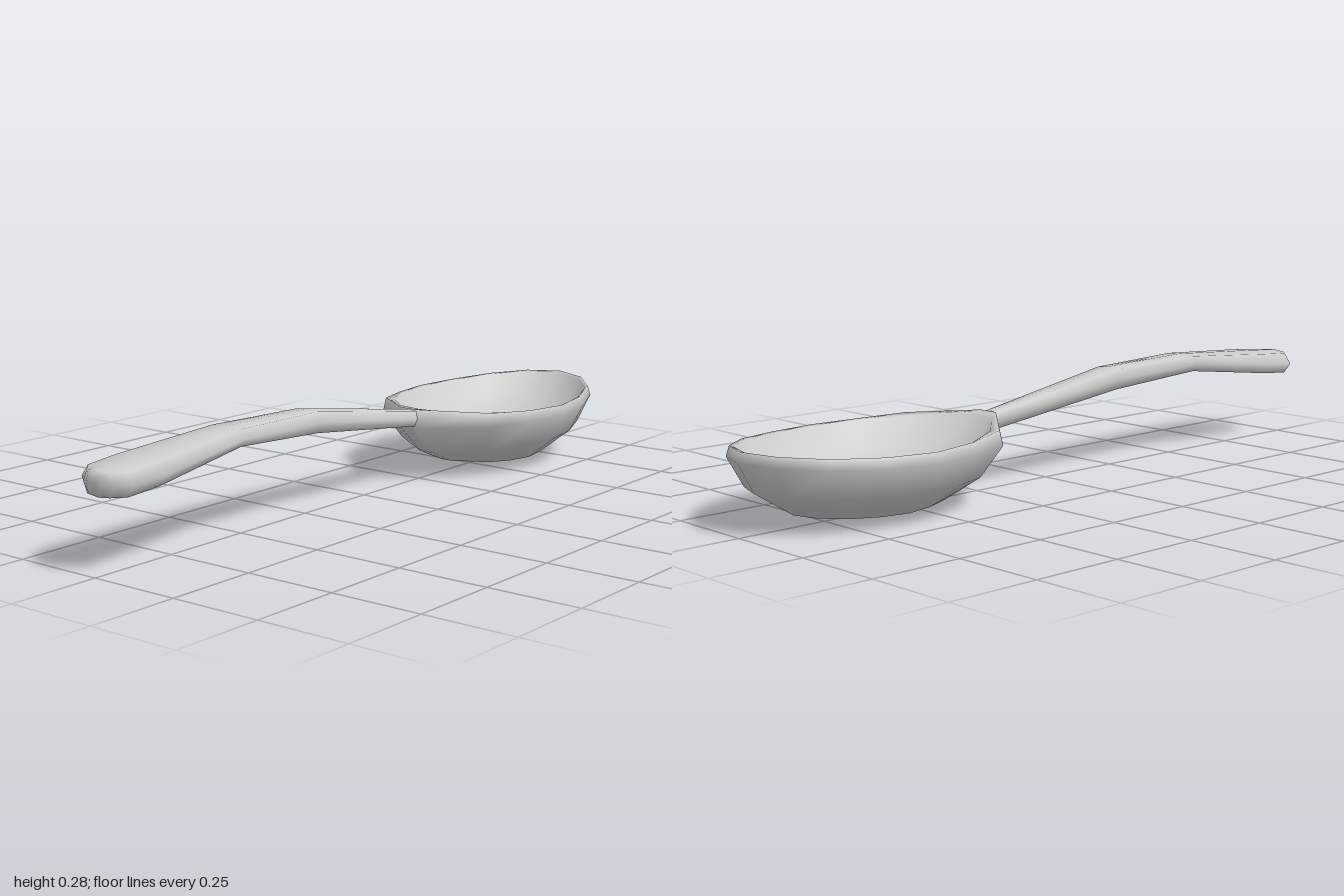
import * as THREE from 'three';
import { mergeVertices } from 'three/addons/utils/BufferGeometryUtils.js';

// Skin a list of closed rings (arrays of [x, y, z]) with smooth normals.
function loft(rings) {
  const n = rings[0].length;
  const index = [];
  for (let r = 0; r < rings.length - 1; r++) {
    for (let i = 0; i < n; i++) {
      const a = r * n + i, b = r * n + (i + 1) % n;
      index.push(a, a + n, b, b, a + n, b + n);
    }
  }
  let geometry = new THREE.BufferGeometry();
  geometry.setAttribute('position', new THREE.Float32BufferAttribute(rings.flat(2), 3));
  geometry.setIndex(index);
  geometry = mergeVertices(geometry, 1e-5);
  geometry.computeVertexNormals();
  return geometry;
}

// Half outlines from tip to neck, relative to the bowl centre
const CENTRE = 0.6;
const outerHalf = [[0.397, 0], [0.362, 0.1], [0.27, 0.184], [0.14, 0.238], [0, 0.262],
  [-0.14, 0.238], [-0.27, 0.19], [-0.4, 0.03]];
const innerHalf = [...outerHalf.slice(0, 6), [-0.27, 0.168], [-0.352, 0.08]];

const closeOutline = (half, neckX) => [
  ...half, [neckX, 0], ...half.slice(1).reverse().map(([x, z]) => [x, -z]),
];

// A bowl ring: scale and height given for tip, sides and neck
function bowlRing(outline, scale, height) {
  const blend = ([tip, side, neck], t) => side + ((t > 0 ? tip : neck) - side) * t * t;
  return outline.map(([x, z]) => {
    const t = x / 0.4;
    const s = blend(scale, t);
    return [CENTRE + x * s, blend(height, t), z * s];
  });
}

function createBowl() {
  const outer = closeOutline(outerHalf, -0.4);
  const inner = closeOutline(innerHalf, -0.37);
  return loft([
    // underside, from the lowest point up to the rim
    bowlRing(outer, [0, 0, 0], [0, 0, 0]),
    bowlRing(outer, [0.61, 0.55, 0.55], [0.03, 0.02, 0.03]),
    bowlRing(outer, [0.89, 0.86, 0.78], [0.1, 0.085, 0.07]),
    bowlRing(outer, [1, 1, 1], [0.18, 0.16, 0.155]),
    bowlRing(outer, [0.98, 0.965, 0.98], [0.206, 0.188, 0.208]),
    // hollow, from the rim down
    bowlRing(inner, [0.95, 0.94, 0.95], [0.203, 0.185, 0.203]),
    bowlRing(inner, [0.83, 0.8, 0.8], [0.135, 0.128, 0.13]),
    bowlRing(inner, [0.54, 0.5, 0.5], [0.086, 0.08, 0.086]),
    bowlRing(inner, [0, 0, 0], [0.057, 0.057, 0.057]),
  ]);
}

function createHandle() {
  // x, half width, bottom, top, sideways shift
  const stations = [
    [-1, 0.025, 0.2, 0.248, 0.005], [-0.985, 0.05, 0.189, 0.255, 0.005],
    [-0.955, 0.087, 0.189, 0.257, 0.005], [-0.86, 0.093, 0.197, 0.264, 0.005],
    [-0.55, 0.064, 0.235, 0.285, 0.003], [-0.24, 0.048, 0.214, 0.279, 0.001],
    [0.2, 0.029, 0.158, 0.208, 0], [0.24, 0.025, 0.155, 0.198, 0],
  ];
  // eight-sided section, flattened on top and bottom
  const section = [[1, 0], [0.74, 0.87], [0, 1], [-0.74, 0.87],
    [-1, 0], [-0.74, -0.87], [0, -1], [0.74, -0.87]];
  const rings = stations.map(([x, w, lo, hi, shift]) =>
    section.map(([u, v]) => [x, (lo + hi) / 2 + v * (hi - lo) / 2, shift + u * w]));
  const cap = ([x, , lo, hi, shift]) => section.map(() => [x, (lo + hi) / 2, shift]);
  return loft([cap(stations[0]), ...rings, cap(stations[stations.length - 1])]);
}

export function createModel() {
  const material = new THREE.MeshStandardMaterial({ color: 0xcccccc });
  const group = new THREE.Group();
  group.name = 'spoon';
  const parts = { bowl: createBowl(), handle: createHandle() };
  for (const [name, geometry] of Object.entries(parts)) {
    const mesh = new THREE.Mesh(geometry, material);
    mesh.name = name;
    group.add(mesh);
  }
  return group;
}
